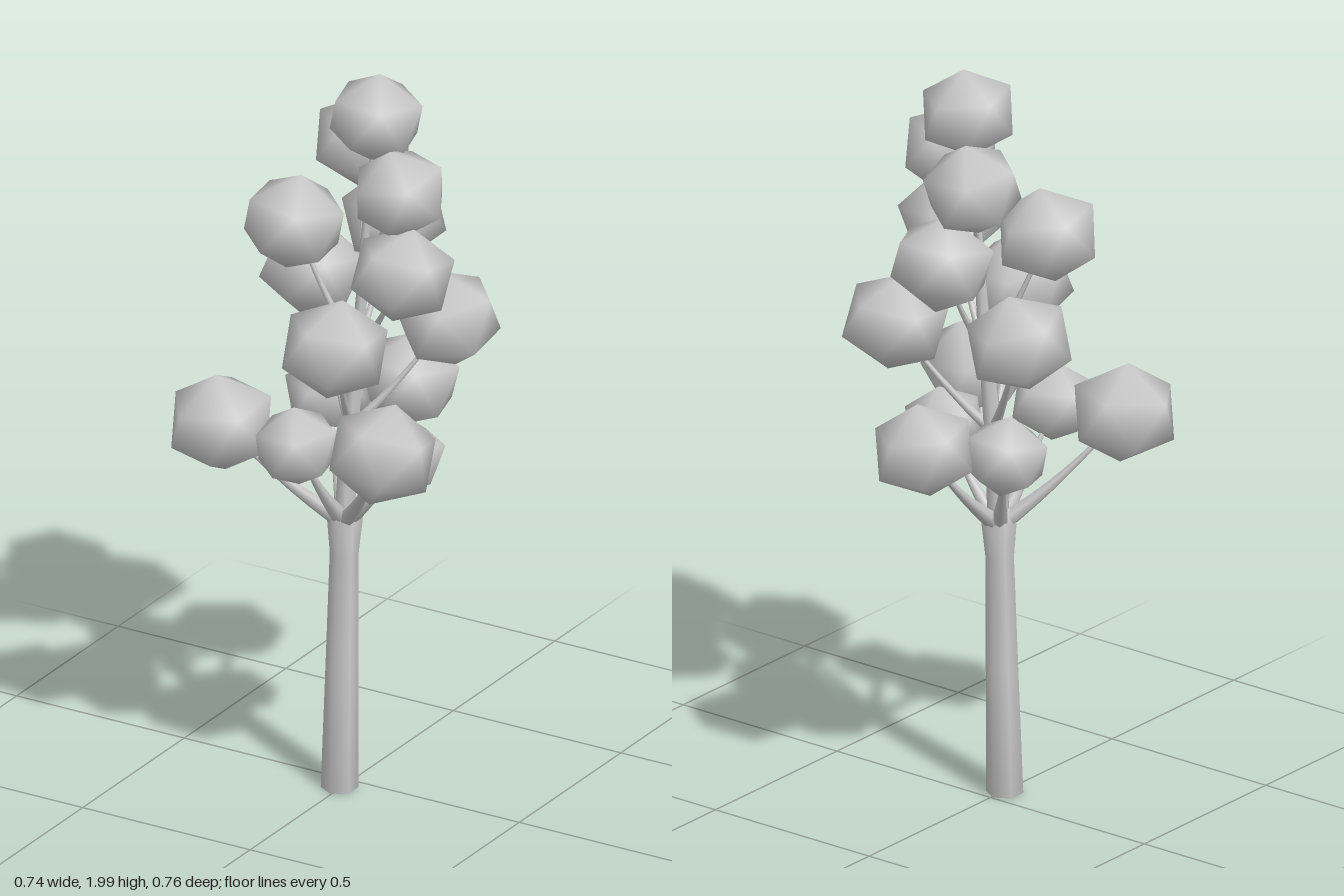
import * as THREE from 'three';
import { mergeVertices } from 'three/addons/utils/BufferGeometryUtils.js';

const V = (x, y, z) => new THREE.Vector3(x, y, z);

// Low-poly ball, slightly wider than tall, with smooth normals and one corner pointing up
function ballGeometry() {
  let g = new THREE.IcosahedronGeometry(1, 0);
  g.deleteAttribute('normal');
  g.deleteAttribute('uv');
  g = mergeVertices(g, 1e-4);
  g.rotateZ(-Math.atan2(2, 1 + Math.sqrt(5)));
  g.scale(1.1, 1, 1.1);
  g.computeVertexNormals();
  return g;
}

// Six-sided tube that thins quickly from r0, then slowly to r1
function taperedTube(curve, steps, r0, r1, power = 1) {
  const sides = 6;
  const g = new THREE.TubeGeometry(curve, steps, 1, sides);
  const p = g.attributes.position, v = V(0, 0, 0);
  for (let i = 0; i < p.count; i++) {
    const t = Math.floor(i / (sides + 1)) / steps;
    const c = curve.getPointAt(t);
    v.fromBufferAttribute(p, i).sub(c).multiplyScalar(r1 + (r0 - r1) * (1 - t) ** power).add(c);
    p.setXYZ(i, v.x, v.y, v.z);
  }
  return g;
}

export function createModel() {
  const tree = new THREE.Group();
  tree.name = 'tree';
  const grey = new THREE.MeshStandardMaterial({ color: 0xcccccc });
  grey.name = 'pale grey';

  const add = (name, geometry) => {
    const mesh = new THREE.Mesh(geometry, grey);
    mesh.name = name;
    tree.add(mesh);
    return mesh;
  };

  // Trunk, flaring a little at the fork and leaning slightly
  const profile = [[0, 0.01], [0.048, 0.005], [0.042, 0.35], [0.037, 0.66], [0.046, 0.755], [0.03, 0.79], [0, 0.82]];
  const trunk = new THREE.LatheGeometry(profile.map(([r, y]) => new THREE.Vector2(r, y)), 6);
  const tp = trunk.attributes.position;
  for (let i = 0; i < tp.count; i++) {
    const y = tp.getY(i);
    tp.setX(i, tp.getX(i) - 0.005 + 0.008 * y);
    tp.setZ(i, tp.getZ(i) + 0.052 - 0.022 * y);
  }
  add('trunk', trunk);

  // Central stem up to the top ball
  const stem = new THREE.CatmullRomCurve3([
    V(0, 0.72, 0.037), V(0.005, 0.9, 0.028), V(0.015, 1.1, 0.018),
    V(0.03, 1.32, 0.008), V(0.042, 1.55, 0.002), V(0.07, 1.86, 0)]);
  add('stem', taperedTube(stem, 16, 0.032, 0.005));

  // Leaf balls: x, y, z, radius, tilt, turn and height of the fork they grow from
  const balls = [
    [0.07, 1.88, -0.005, 0.12, -0.07, 0.3, null],
    [-0.047, 1.74, -0.135, 0.125, -0.1, 0.9, 1.46],
    [0.187, 1.725, 0.073, 0.122, 0.15, 0.5, 1.46],
    [-0.13, 1.57, 0.07, 0.13, -0.12, 0.2, 1.22],
    [0.22, 1.52, 0.113, 0.128, -0.15, 0.7, 1.22],
    [0.02, 1.53, -0.175, 0.13, 0.1, 1.1, 1.22],
    [-0.192, 1.35, -0.125, 0.132, -0.15, 0.4, 1.0],
    [0.095, 1.33, 0.24, 0.134, -0.12, 0.8, 1.0],
    [0.213, 1.305, -0.122, 0.132, 0.12, 0.1, 1.0],
    [-0.24, 1.05, 0.247, 0.135, 0.06, 0.6, 0.745],
    [-0.022, 1.03, 0.235, 0.108, 0.05, 0.2, 0.745],
    [0.233, 1.065, 0.233, 0.136, -0.2, 0.9, 0.745],
    [0.187, 0.98, 0.045, 0.1, -0.1, 0.4, 0.745],
    [-0.14, 1.02, -0.115, 0.108, 0.1, 1.0, 0.745],
    [0.02, 1.04, -0.25, 0.128, -0.1, 0.3, 0.745],
  ];
  const ball = ballGeometry();
  const stemAt = (y) => {
    let t = 0;
    while (t < 1 && stem.getPoint(t).y < y) t += 0.01;
    return stem.getPoint(t);
  };

  balls.forEach(([x, y, z, r, tilt, turn, fork], i) => {
    const leaf = add('leafBall' + (i + 1), ball);
    leaf.position.set(x, y, z);
    leaf.scale.setScalar(r);
    leaf.rotation.set(tilt * 0.6, turn, tilt);
    if (fork === null) return;

    // Branch bowing out from the stem, then rising into the ball
    const start = stemAt(fork), end = V(x, y, z);
    const bend = start.clone().lerp(end, 0.5);
    bend.y -= 0.04;
    const thick = fork < 0.8 ? 0.026 : 0.024 - 0.009 * fork;
    add('branch' + i, taperedTube(new THREE.QuadraticBezierCurve3(start, bend, end), 8, thick, 0.005, 1.8));
  });

  return tree;
}
